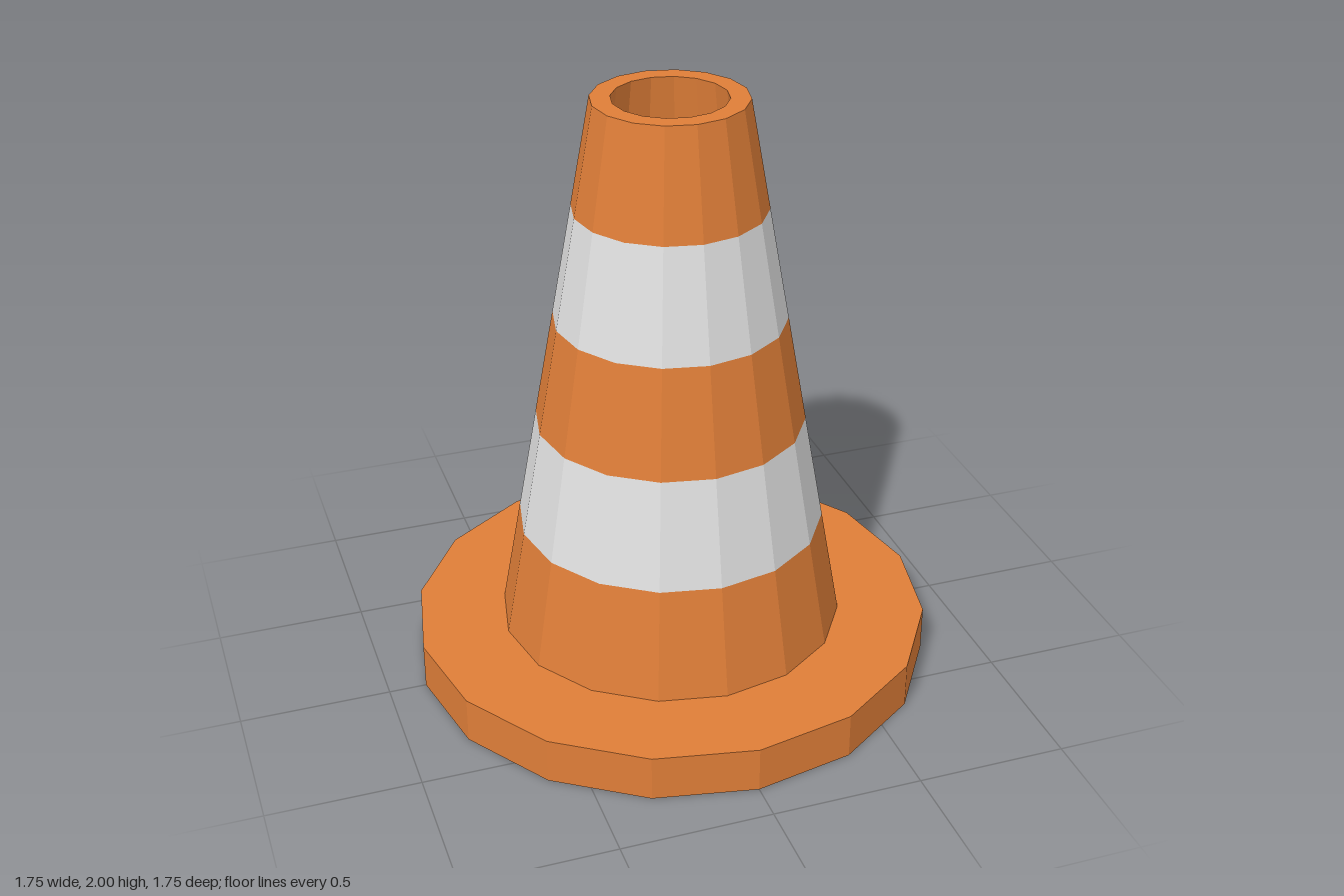
import * as THREE from 'three';

const SIDES = 16;
const BASE_R = 0.875, BASE_H = 0.155, HEIGHT = 2;
const CONE_BOTTOM = 0.58, CONE_TOP = 0.25;
const BORE_BOTTOM = 0.42, BORE_TOP = 0.185;

// Outer cone radius at a given height
const coneRadius = (y) =>
  THREE.MathUtils.mapLinear(y, BASE_H, HEIGHT, CONE_BOTTOM, CONE_TOP);

// Faceted ring swept from a profile of [radius, height] points
function ring(name, profile, material) {
  const points = profile.map(([r, y]) => new THREE.Vector2(r, y));
  const geometry = new THREE.LatheGeometry(points, SIDES).toNonIndexed();
  geometry.computeVertexNormals();
  const mesh = new THREE.Mesh(geometry, material);
  mesh.name = name;
  return mesh;
}

export function createModel() {
  const orange = new THREE.MeshStandardMaterial({ color: 0xdf7e38, flatShading: true });
  orange.name = 'orange plastic';
  const white = new THREE.MeshStandardMaterial({ color: 0xe0e0e0, flatShading: true });
  white.name = 'white band';

  const model = new THREE.Group();
  model.name = 'trafficCone';

  // Wide foot: underside, rim and upper face
  model.add(ring('base', [
    [BORE_BOTTOM, 0], [BASE_R, 0], [BASE_R, BASE_H], [CONE_BOTTOM, BASE_H],
  ], orange));

  // Alternating bands up the outside of the cone
  const levels = [BASE_H, 0.53, 0.897, 1.263, 1.64, HEIGHT];
  for (let i = 0; i < levels.length - 1; i++) {
    const [low, high] = [levels[i], levels[i + 1]];
    const isWhite = i % 2 === 1;
    model.add(ring(
      `${isWhite ? 'white' : 'orange'}Band${i + 1}`,
      [[coneRadius(low), low], [coneRadius(high), high]],
      isWhite ? white : orange,
    ));
  }

  // Top lip and the hollow running down through the foot
  model.add(ring('topLip', [[CONE_TOP, HEIGHT], [BORE_TOP, HEIGHT]], orange));
  model.add(ring('innerWall', [[BORE_TOP, HEIGHT], [BORE_BOTTOM, 0]], orange));

  return model;
}
